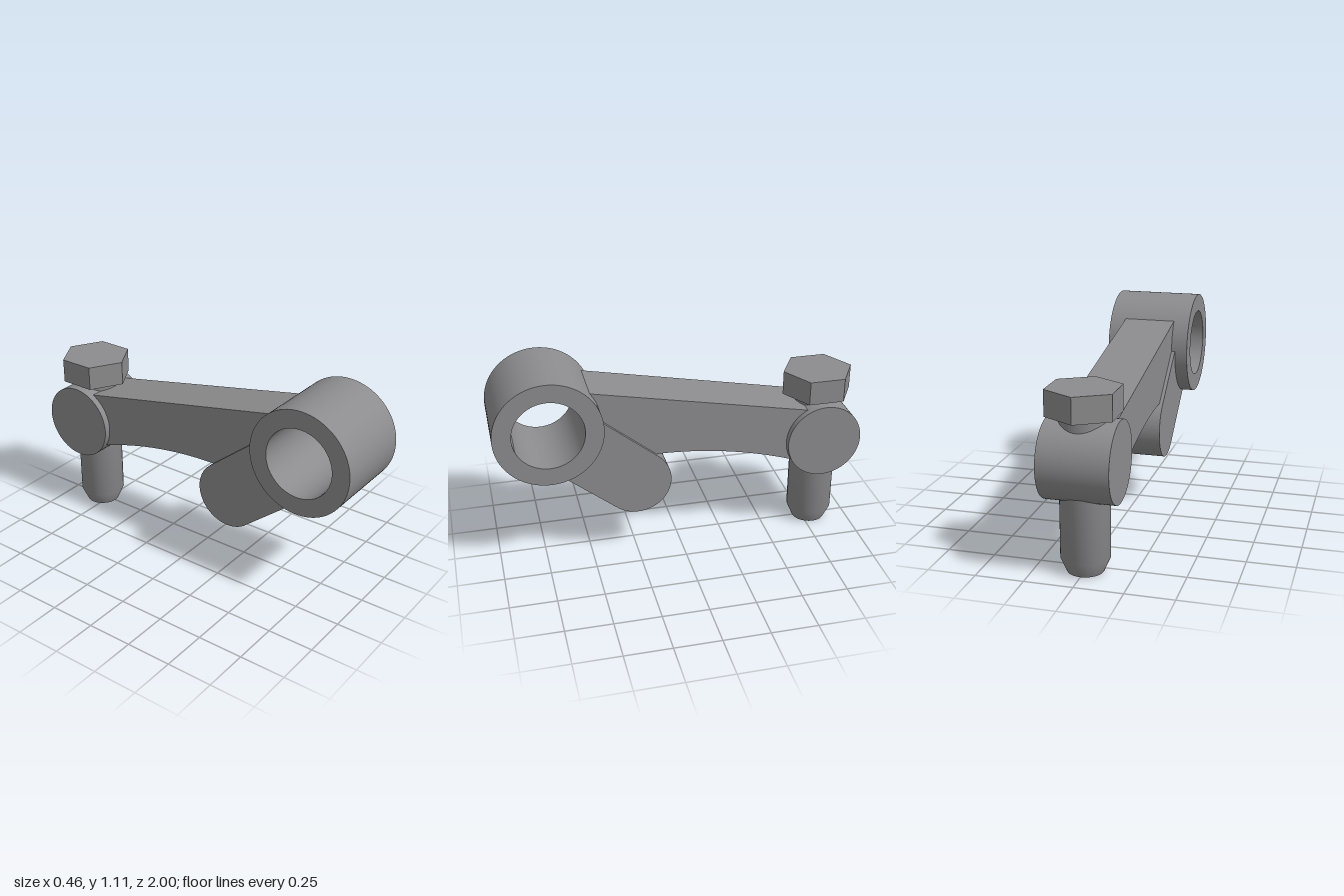
import * as THREE from 'three';
import { toCreasedNormals } from 'three/addons/utils/BufferGeometryUtils.js';

const steel = new THREE.MeshStandardMaterial({ color: 0x8c8c8e });
steel.name = 'steelGrey';

// Shared layout: [z, y] of the main axes, which all run along x
const RING = [0.714, 0.826];
const LEG = [0.248, 0.449];
const BARREL = [-0.792, 0.576];

function part(name, geometry) {
  const mesh = new THREE.Mesh(toCreasedNormals(geometry, 0.5), steel);
  mesh.name = name;
  return mesh;
}

// Extrude a side profile drawn in (z, y), centred on x = 0
function sideProfile(shape, width) {
  const g = new THREE.ExtrudeGeometry(shape, { depth: width, bevelEnabled: false, curveSegments: 48 });
  g.translate(0, 0, -width / 2);
  g.rotateY(-Math.PI / 2);
  return g;
}

export function createModel() {
  const group = new THREE.Group();
  group.name = 'leverArm';

  // Open ring at the front
  const ring = new THREE.Shape();
  ring.absarc(RING[0], RING[1], 0.286, 0, Math.PI * 2, false);
  const bore = new THREE.Path();
  bore.absarc(RING[0], RING[1], 0.188, 0, Math.PI * 2, true);
  ring.holes.push(bore);
  group.add(part('pivotRing', sideProfile(ring, 0.464)));

  // Arm with straight top and arched underside, ends buried in ring and barrel
  const arm = new THREE.Shape();
  arm.moveTo(0.488, 0.996);
  arm.lineTo(-0.71, 0.758);
  arm.lineTo(-0.72, 0.427);
  arm.quadraticCurveTo(-0.29, 0.599, 0.14, 0.599);
  arm.lineTo(0.545, 0.61);
  arm.lineTo(0.47, 0.826);
  group.add(part('arm', sideProfile(arm, 0.286)));

  // Short round-ended leg, starting inside the ring wall
  const r = 0.184;
  const angle = Math.atan2(LEG[1] - RING[1], LEG[0] - RING[0]);
  const dir = new THREE.Vector2(Math.cos(angle), Math.sin(angle));
  const side = new THREE.Vector2(-dir.y, dir.x).multiplyScalar(r);
  const start = new THREE.Vector2(...RING).addScaledVector(dir, 0.205);
  const leg = new THREE.Shape();
  leg.moveTo(start.x + side.x, start.y + side.y);
  leg.lineTo(start.x - side.x, start.y - side.y);
  leg.absarc(LEG[0], LEG[1], r, angle - Math.PI / 2, angle + Math.PI / 2, false);
  group.add(part('roundedLeg', sideProfile(leg, 0.325)));

  // Solid cross barrel at the back
  const barrel = new THREE.CylinderGeometry(0.207, 0.207, 0.36, 64);
  barrel.rotateZ(Math.PI / 2);
  barrel.translate(0, BARREL[1], BARREL[0]);
  group.add(part('crossBarrel', barrel));

  // Bolt through the barrel: chamfered shank and hexagonal head
  const bolt = new THREE.Group();
  bolt.name = 'adjusterBolt';
  bolt.position.z = BARREL[0];
  const profile = [[0, 0], [0.0925, 0], [0.125, 0.074], [0.125, 0.81]].map(p => new THREE.Vector2(...p));
  bolt.add(part('boltShank', new THREE.LatheGeometry(profile, 48)));
  const head = new THREE.CylinderGeometry(0.193, 0.193, 0.133, 6);
  head.translate(0, 0.8685, 0);
  bolt.add(part('boltHead', head));
  group.add(bolt);

  return group;
}
